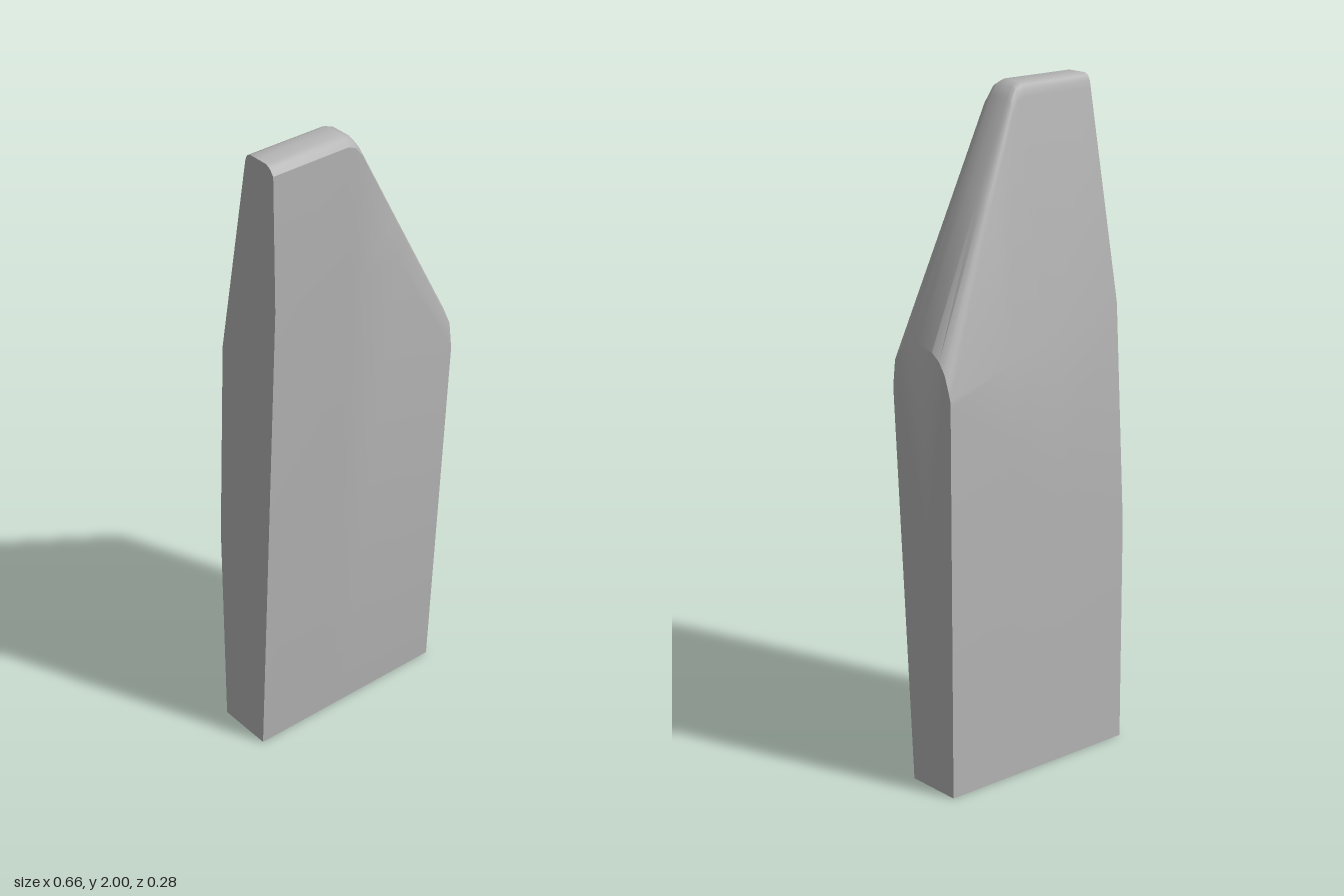
import * as THREE from 'three';
import { toCreasedNormals } from 'three/addons/utils/BufferGeometryUtils.js';

const { lerp, clamp } = THREE.MathUtils;

// Stations along x with the height of the top edge: [x, height]
const stations = [[-0.33, 2], [-0.08, 2], [-0.055, 1.99], [-0.03, 1.96], [0.1, 1.73], [0.33, 1.325]];

// Rounded rim, front to back, as [z, drop] at the tall end and at the low end
const tallRim = [[0.138, 0.025], [0.125, 0.008], [0.11, 0], [0.075, 0], [0.045, 0], [0.032, 0.006], [0.024, 0.02], [0.02, 0.04]];
const lowRim = [[0.102, 0.065], [0.075, 0.03], [0.045, 0.012], [0, 0], [-0.06, 0.012], [-0.09, 0.033], [-0.113, 0.065], [-0.126, 0.1]];

// Closed cross-section: up the front, over the rim, down the back
function section([x, height]) {
  const u = (x + 0.33) / 0.66;
  const s = clamp((x + 0.05) / 0.38, 0, 1);
  const f = clamp((x - 0.1) / 0.23, 0, 1);
  const rim = tallRim.map(([z, drop], i) => [
    height - lerp(drop, lowRim[i][1], s),
    lerp(z, lowRim[i][0], s),
  ]);
  return [
    [0, 0.04],
    [lerp(1.57, 1.18, f), lerp(0.137, 0.112, f)],
    ...rim,
    [lerp(1.35, 1.19, u), lerp(-0.1, -0.137, u)],
    [lerp(0.69, 1.17, u), -0.138],
    [0, -0.138],
  ].map(([y, z]) => [x, y, z]);
}

function slabGeometry() {
  const rings = stations.map(section);
  const n = rings[0].length;
  const last = rings.length - 1;
  const positions = rings.flat(2);
  const index = [];

  // Skin between neighbouring sections
  for (let i = 0; i < last; i++) {
    for (let j = 0; j < n; j++) {
      const k = (j + 1) % n;
      const a = i * n + j, b = a + n, c = (i + 1) * n + k, d = i * n + k;
      index.push(a, b, c, a, c, d);
    }
  }

  // Flat side walls
  for (const end of [0, last]) {
    const centre = positions.length / 3;
    positions.push(stations[end][0], 0.8, -0.03);
    for (let j = 0; j < n; j++) {
      const a = end * n + j, b = end * n + (j + 1) % n;
      if (end === 0) index.push(centre, a, b);
      else index.push(centre, b, a);
    }
  }

  const geometry = new THREE.BufferGeometry();
  geometry.setAttribute('position', new THREE.Float32BufferAttribute(positions, 3));
  geometry.setIndex(index);
  return toCreasedNormals(geometry, 0.62);
}

export function createModel() {
  const group = new THREE.Group();
  group.name = 'taperedSlab';
  const grey = new THREE.MeshStandardMaterial({ color: 0xb4b4b4 });
  grey.name = 'grey';
  const slab = new THREE.Mesh(slabGeometry(), grey);
  slab.name = 'slabBody';
  group.add(slab);
  return group;
}
